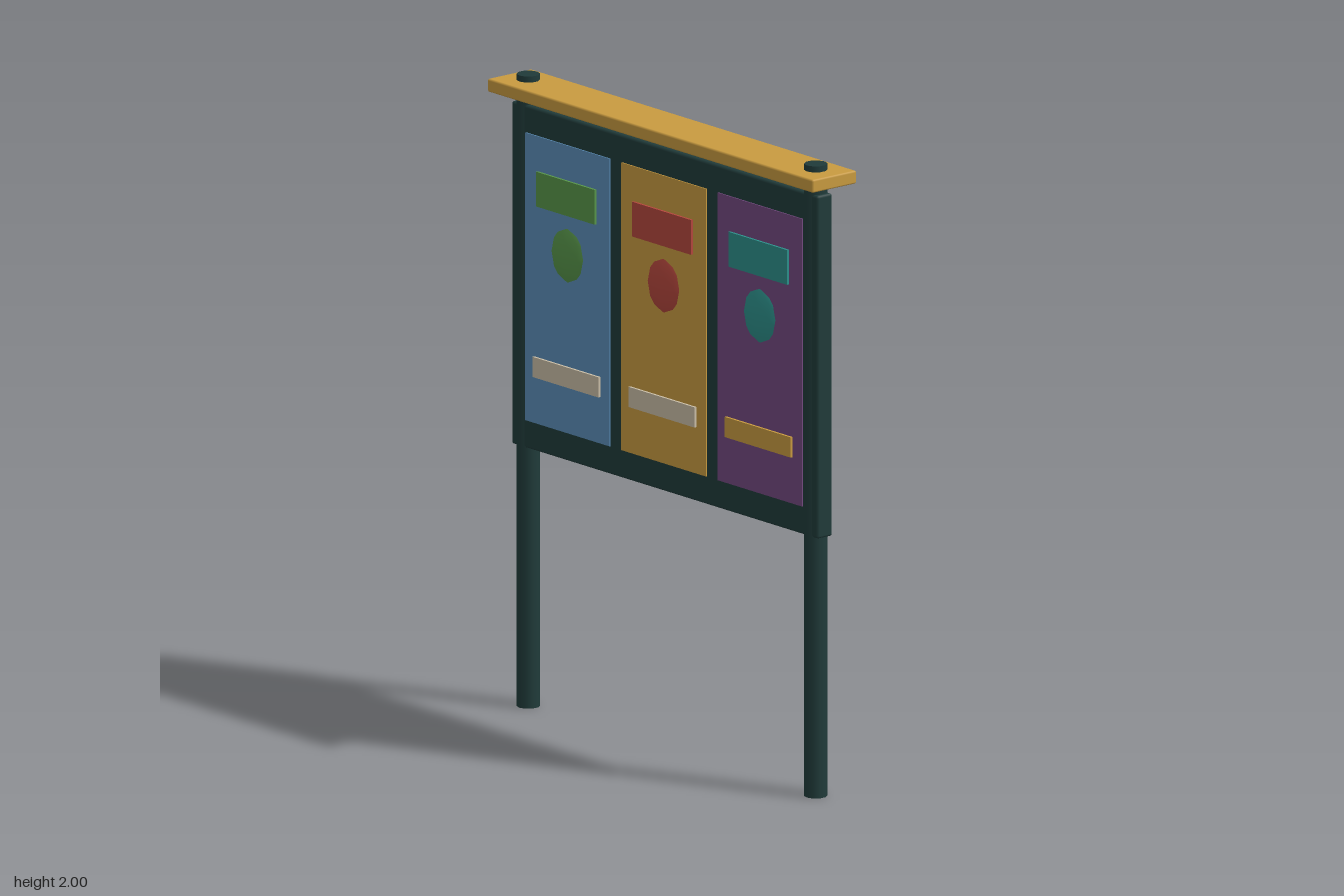
import * as THREE from 'three';
import { RoundedBoxGeometry } from 'three/addons/geometries/RoundedBoxGeometry.js';

const material = (name, color) => new THREE.MeshStandardMaterial({ name, color });

export function createModel() {
  const model = new THREE.Group();
  model.name = 'noticeBoard';

  const darkGreen = material('darkGreen', 0x203b3a);
  const ochre = material('ochre', 0xc99b40);
  const blue = material('blue', 0x5b8fba);
  const purple = material('purple', 0x734a80);
  const green = material('green', 0x58964a);
  const red = material('red', 0xb5473d);
  const teal = material('teal', 0x2d908b);
  const cream = material('cream', 0xcbbfa8);

  function add(parent, name, geometry, mat, x, y) {
    const mesh = new THREE.Mesh(geometry, mat);
    mesh.name = name;
    mesh.position.set(x, y, 0);
    parent.add(mesh);
    return mesh;
  }

  // Posts
  for (const side of [-1, 1]) {
    add(model, side > 0 ? 'leftPost' : 'rightPost',
      new THREE.CylinderGeometry(0.036, 0.036, 2, 10), darkGreen, side * 0.68, 1);
  }

  // Backing board and cap rail, with softly bevelled edges
  add(model, 'board', new RoundedBoxGeometry(1.45, 1.085, 0.06, 1, 0.008), darkGreen, 0, 1.3675);
  add(model, 'capRail', new RoundedBoxGeometry(1.54, 0.042, 0.176, 1, 0.006), ochre, 0, 1.96);

  // Three posters, readable from both sides
  const posters = [
    { x: -0.455, sheet: blue, accent: green, strip: cream },
    { x: 0, sheet: ochre, accent: red, strip: cream },
    { x: 0.455, sheet: purple, accent: teal, strip: ochre },
  ];
  for (const { x, sheet, accent, strip } of posters) {
    const poster = new THREE.Group();
    poster.name = 'poster';
    poster.position.x = x;
    model.add(poster);
    add(poster, 'sheet', new THREE.BoxGeometry(0.4, 0.91, 0.068), sheet, 0, 1.37);
    add(poster, 'heading', new THREE.BoxGeometry(0.277, 0.11, 0.084), accent, 0, 1.66);
    add(poster, 'footerStrip', new THREE.BoxGeometry(0.312, 0.064, 0.084), strip, 0, 1.094);
    add(poster, 'medallion', new THREE.SphereGeometry(1, 12, 8), accent, 0, 1.477)
      .scale.set(0.111, 0.118, 0.049);
  }

  return model;
}
